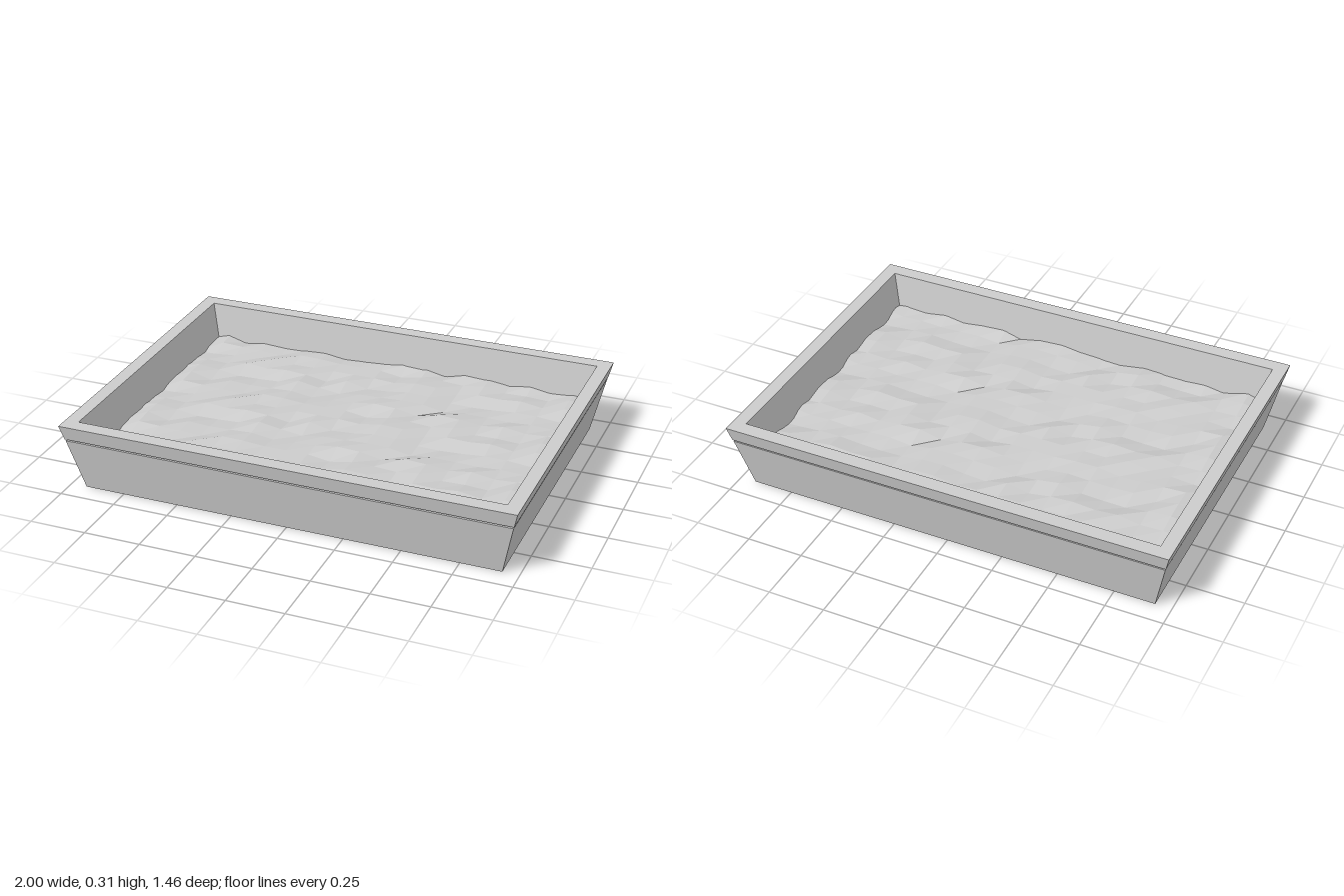
import * as THREE from 'three';

const material = new THREE.MeshStandardMaterial({ color: 0xcccccc, flatShading: true });

// Skins a stack of rectangular rings [halfWidth, halfDepth, y]; the first and last rings are capped.
function loftRectangles(rings) {
  const positions = [];
  const index = [];
  for (const [w, d, y] of rings) positions.push(-w, y, d, w, y, d, w, y, -d, -w, y, -d);
  for (let r = 0; r < rings.length - 1; r++) {
    for (let k = 0; k < 4; k++) {
      const a = r * 4 + k;
      const b = r * 4 + (k + 1) % 4;
      index.push(a, b, b + 4, a, b + 4, a + 4);
    }
  }
  const e = (rings.length - 1) * 4;
  index.push(0, 2, 1, 0, 3, 2, e, e + 1, e + 2, e, e + 2, e + 3);
  const geometry = new THREE.BufferGeometry();
  geometry.setAttribute('position', new THREE.Float32BufferAttribute(positions, 3));
  geometry.setIndex(index);
  const flat = geometry.toNonIndexed();
  flat.computeVertexNormals();
  return flat;
}

// Repeatable bump in -1..1 that recurs every five rows
function bump(column, row) {
  const s = Math.sin(column * 12.9898 + (row % 5) * 78.233) * 43758.5453;
  return (s - Math.floor(s)) * 2 - 1;
}

// Bed of loose fill with an uneven faceted surface
function fillGeometry(width, depth, columns, rows, height) {
  const plane = new THREE.PlaneGeometry(width, depth, columns, rows).rotateX(-Math.PI / 2);
  const p = plane.attributes.position;
  for (let i = 0; i < p.count; i++) {
    const column = i % (columns + 1);
    const row = Math.floor(i / (columns + 1));
    p.setY(i, height + 0.015 * bump(column, row));
  }
  const flat = plane.toNonIndexed();
  flat.computeVertexNormals();
  return flat;
}

export function createModel() {
  const group = new THREE.Group();

  // Tapered tray: outer wall, narrow groove, rim, inner wall and floor
  const tray = new THREE.Mesh(loftRectangles([
    [0.928, 0.656, 0],
    [0.981, 0.711, 0.238],
    [0.971, 0.701, 0.238],
    [0.972, 0.702, 0.246],
    [0.984, 0.714, 0.246],
    [1, 0.73, 0.312],
    [0.94, 0.665, 0.312],
    [0.883, 0.62, 0.04],
  ]), material);
  tray.name = 'tray';
  group.add(tray);

  const surface = material.clone();
  surface.side = THREE.DoubleSide;
  const fill = new THREE.Mesh(fillGeometry(1.9, 1.31, 19, 15, 0.155), surface);
  fill.name = 'looseFill';
  group.add(fill);

  return group;
}
